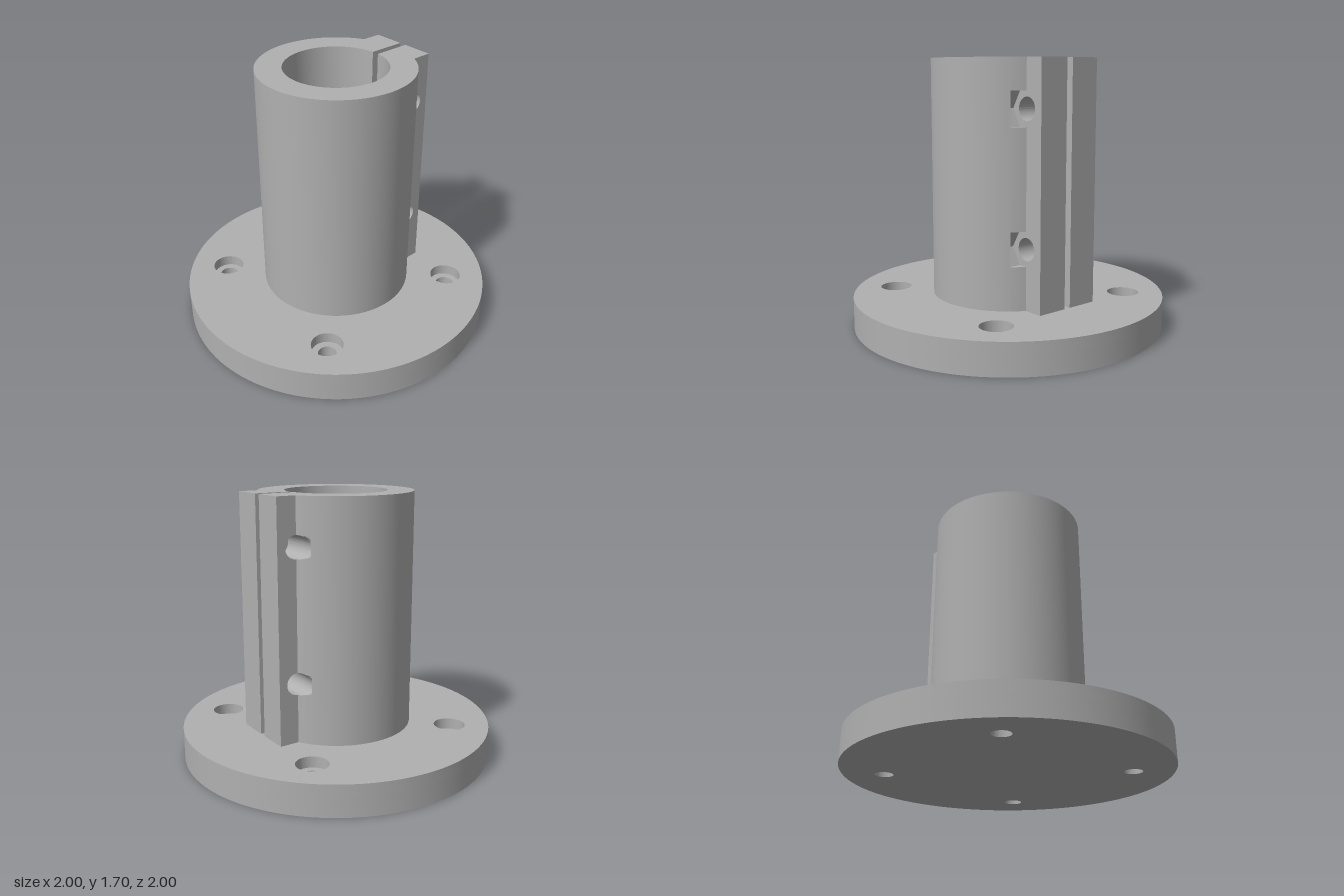
import * as THREE from 'three';
import { toCreasedNormals } from 'three/addons/utils/BufferGeometryUtils.js';

const BASE_H = 0.2, TOP = 1.7;
const OUTER = 0.485, BORE = 0.32;
const SLIT = 0.022, EAR_Z = 0.222, EAR_X = 0.557; // half slit, ear faces
const POCKET_Z = 0.3, POCKET_X = 0.3;             // end of bolt cuts, inner limit
const BOLT_X = 0.435, BOLT_R = 0.07, BOLT_YS = [0.577, 1.405];
const HEX_R = 0.122;

const arcX = (z, r = OUTER) => Math.sqrt(r * r - z * z);

function arcPoints(r, from, to, n) {
  return Array.from({ length: n + 1 }, (_, i) => {
    const a = from + (to - from) * i / n;
    return new THREE.Vector2(r * Math.cos(a), r * Math.sin(a));
  });
}

function circlePath(x, y, r) {
  return new THREE.Path().absarc(x, y, r, 0, Math.PI * 2, true);
}

function extrude(shape, depth, steps = 1, curveSegments = 48) {
  return new THREE.ExtrudeGeometry(shape, { depth, steps, curveSegments, bevelEnabled: false });
}

export function createModel() {
  const group = new THREE.Group();
  const grey = new THREE.MeshStandardMaterial({ color: 0xb0b0b0 });
  grey.name = 'grey';

  const add = (name, geometry) => {
    const mesh = new THREE.Mesh(toCreasedNormals(geometry, 0.5), grey);
    mesh.name = name;
    group.add(mesh);
  };

  // Round flange in two layers: narrow screw holes below, counterbores above
  const flangeLayer = (name, y0, y1, holeR) => {
    const disc = new THREE.Shape(arcPoints(1, 0, Math.PI * 2, 128).slice(0, -1));
    for (const x of [-0.53, 0.53]) for (const z of [-0.53, 0.53]) disc.holes.push(circlePath(x, z, holeR));
    add(name, extrude(disc, y1 - y0).rotateX(-Math.PI / 2).translate(0, y0, 0));
  };
  flangeLayer('flangeLower', 0, 0.13, 0.057);
  flangeLayer('flangeUpper', 0.13, BASE_H, 0.1);

  // Split tube, leaving room beside the slit for the ears and bolt pockets
  const slitX = arcX(SLIT, BORE);
  const outerA = Math.asin(POCKET_Z / OUTER);
  const boreA = Math.asin(SLIT / BORE);
  const V = (x, y) => new THREE.Vector2(x, y);
  const tube = new THREE.Shape([
    V(slitX, EAR_Z), V(POCKET_X, EAR_Z), V(POCKET_X, POCKET_Z),
    ...arcPoints(OUTER, outerA, Math.PI * 2 - outerA, 96),
    V(POCKET_X, -POCKET_Z), V(POCKET_X, -EAR_Z), V(slitX, -EAR_Z),
    ...arcPoints(BORE, Math.PI * 2 - boreA, boreA, 96),
  ]);
  add('splitTube', extrude(tube, TOP - BASE_H).rotateX(-Math.PI / 2).translate(0, BASE_H, 0));

  // Clamping ears on both sides of the slit, drilled for two bolts
  const ear = new THREE.Shape([V(slitX, BASE_H), V(EAR_X, BASE_H), V(EAR_X, TOP), V(slitX, TOP)]);
  for (const y of BOLT_YS) ear.holes.push(circlePath(BOLT_X, y, BOLT_R));
  add('frontEar', extrude(ear, EAR_Z - SLIT).translate(0, 0, SLIT));
  add('backEar', extrude(ear, EAR_Z - SLIT).translate(0, 0, -EAR_Z));

  // Curved tube wall beside each ear, notched by the nut or bolt cut
  const wallStrip = (name, z0, notch) => {
    const maxX = arcX(EAR_Z);
    const points = [V(POCKET_X, BASE_H), V(maxX, BASE_H)];
    for (const y of BOLT_YS) for (const p of notch) points.push(V(Math.min(p.x, maxX), y + p.y));
    points.push(V(maxX, TOP), V(POCKET_X, TOP));
    const geo = extrude(new THREE.Shape(points), POCKET_Z - EAR_Z, 4).translate(0, 0, z0);
    const pos = geo.attributes.position;
    for (let i = 0; i < pos.count; i++) {
      pos.setX(i, Math.min(pos.getX(i), arcX(pos.getZ(i))));
    }
    add(name, geo);
  };

  const flat = HEX_R * Math.sqrt(3) / 2;
  const hexNotch = [
    V(BOLT_X, -flat), V(BOLT_X - HEX_R / 2, -flat), V(BOLT_X - HEX_R, 0),
    V(BOLT_X - HEX_R / 2, flat), V(BOLT_X, flat),
  ];
  const roundNotch = arcPoints(BOLT_R, Math.PI * 1.5, Math.PI * 0.5, 24).map(p => V(BOLT_X + p.x, p.y));
  wallStrip('frontNutPocketWall', EAR_Z, hexNotch);
  wallStrip('backBoltHoleWall', -POCKET_Z, roundNotch);

  return group;
}
